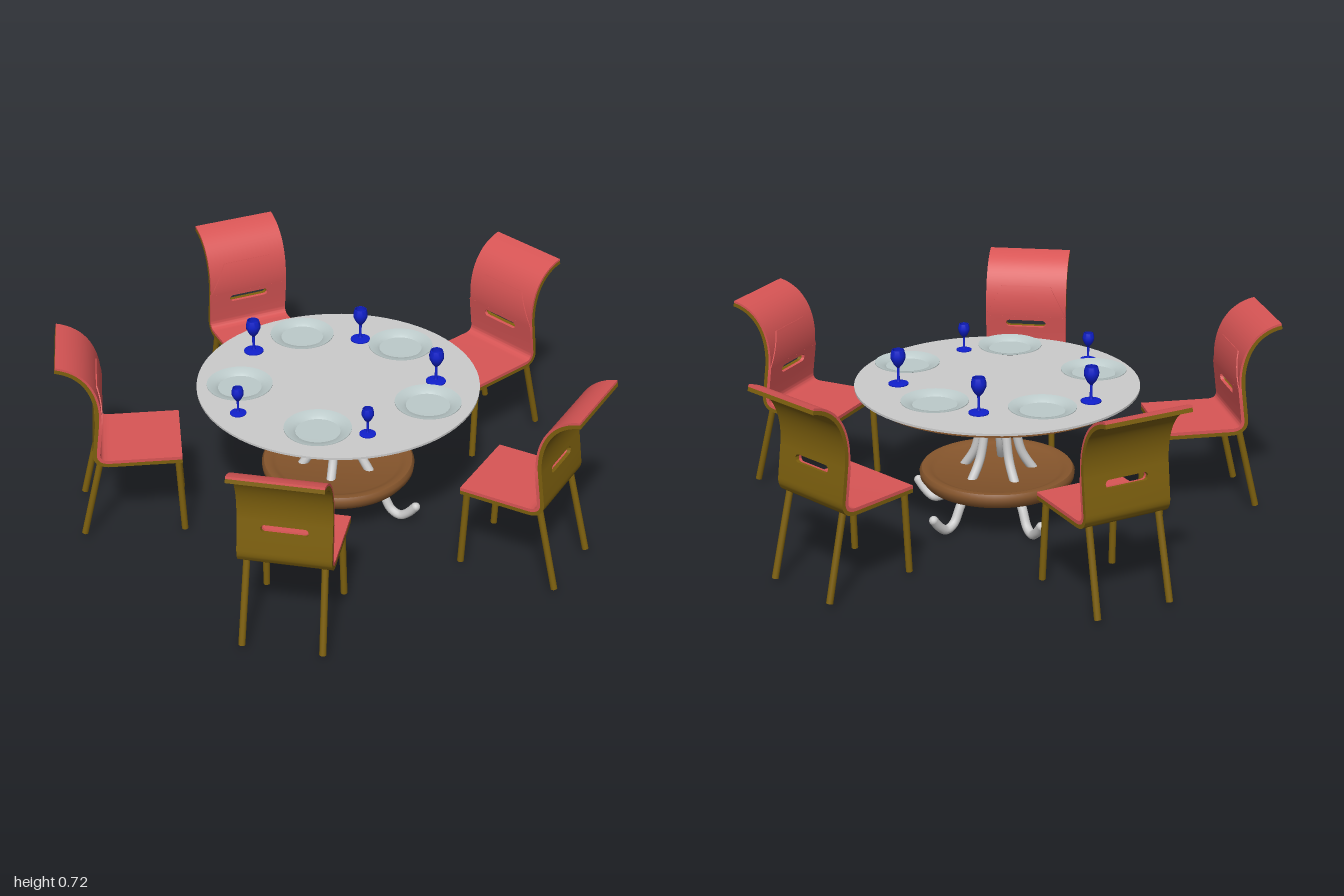
import * as THREE from 'three';
import { toCreasedNormals, mergeGeometries } from 'three/addons/utils/BufferGeometryUtils.js';

const mat = (color, side = THREE.FrontSide) => new THREE.MeshStandardMaterial({ color, side });
const GREY = mat(0xcccccc), OLIVE = mat(0x7c5f0e), RED = mat(0xd85555), WOOD = mat(0x85552c);
const CHINA = mat(0xbccaca, THREE.DoubleSide), BLUE = mat(0x1020cc, THREE.DoubleSide);
const STEP = Math.PI * 2 / 5;

function add(parent, name, geometry, material) {
  const mesh = new THREE.Mesh(geometry, material);
  mesh.name = name;
  parent.add(mesh);
  return mesh;
}

const V2 = ([x, y]) => new THREE.Vector2(x, y);
const lathe = (pts, seg = 48) => toCreasedNormals(new THREE.LatheGeometry(pts.map(V2), seg), 0.7);

function rod(a, b, radius) {
  const from = new THREE.Vector3(...a), to = new THREE.Vector3(...b);
  const dir = to.clone().sub(from);
  const g = new THREE.CylinderGeometry(radius, radius, dir.length(), 12);
  g.applyQuaternion(new THREE.Quaternion().setFromUnitVectors(new THREE.Vector3(0, 1, 0), dir.normalize()));
  const mid = from.add(to).multiplyScalar(0.5);
  return g.translate(mid.x, mid.y, mid.z);
}

// Chair side profile (distance from table centre, height): seat and lower back, then the rolled upper back
const HALF = 0.16;
const SLOT_A = [0.86, 0.425], SLOT_B = [0.852, 0.485];
const lower = new THREE.Path().moveTo(0.575, 0.331).lineTo(0.83, 0.331)
  .quadraticCurveTo(0.872, 0.331, 0.868, 0.365).lineTo(...SLOT_A).getPoints(10);
const upper = new THREE.Path().moveTo(...SLOT_B)
  .bezierCurveTo(0.84, 0.58, 0.87, 0.7, 0.995, 0.725).getPoints(24);

// A sheet lying between two offsets of a profile, extruded across the chair
function sheet(pts, d0, d1) {
  const offset = d => pts.map((p, i) => {
    const t = pts[Math.min(i + 1, pts.length - 1)].clone().sub(pts[Math.max(i - 1, 0)]).normalize();
    return new THREE.Vector2(p.x + t.y * d, p.y - t.x * d);
  });
  const shape = new THREE.Shape([...offset(d0), ...offset(d1).reverse()]);
  const g = new THREE.ExtrudeGeometry(shape, { depth: HALF * 2, bevelEnabled: false });
  return g.translate(0, 0, -HALF).rotateY(-Math.PI / 2);
}

// The straight band of the back, with its rounded hand slot
function slotBand(d0, d1) {
  const dr = SLOT_B[0] - SLOT_A[0], dy = SLOT_B[1] - SLOT_A[1], h = Math.hypot(dr, dy);
  const shape = new THREE.Shape([[-HALF, 0], [HALF, 0], [HALF, h], [-HALF, h]].map(V2));
  const r = 0.014, w = 0.066;
  const hole = new THREE.Path();
  hole.absarc(w, h / 2, r, -Math.PI / 2, Math.PI / 2);
  hole.absarc(-w, h / 2, r, Math.PI / 2, Math.PI * 1.5);
  shape.holes.push(hole);
  const g = new THREE.ExtrudeGeometry(shape, { depth: d1 - d0, bevelEnabled: false, curveSegments: 8 });
  return g.translate(0, 0, d0).rotateX(Math.atan2(dr, dy)).translate(0, SLOT_A[1], SLOT_A[0]);
}

// Lumbar panel, narrowing towards its top
function lumbarPad() {
  const pts = upper.filter(p => p.y < 0.615);
  const g = sheet(pts, -0.004, 0.001), pos = g.attributes.position;
  for (let i = 0; i < pos.count; i++) {
    const k = THREE.MathUtils.clamp((pos.getY(i) - 0.485) / 0.125, 0, 1);
    pos.setX(i, pos.getX(i) * (1 - 0.4 * k));
  }
  g.computeVertexNormals();
  return g;
}

function createChair() {
  const chair = new THREE.Group();
  chair.name = 'chair';
  const join = list => toCreasedNormals(mergeGeometries(list), 0.6);
  add(chair, 'cushion', join([sheet(lower, -0.004, 0.008), slotBand(-0.004, 0.008),
    sheet(upper, 0, 0.008), lumbarPad()]), RED);
  add(chair, 'shell', join([sheet(lower, 0.008, 0.022), slotBand(0.008, 0.022),
    sheet(upper, 0.008, 0.022)]), OLIVE);
  for (const s of [-1, 1]) {
    add(chair, 'frontLeg', rod([s * 0.132, 0.315, 0.59], [s * 0.138, 0.012, 0.578], 0.012), OLIVE);
    add(chair, 'backLeg', rod([s * 0.132, 0.32, 0.865], [s * 0.138, 0.02, 0.94], 0.012), OLIVE);
  }
  return chair;
}

function createTable() {
  const table = new THREE.Group();
  table.name = 'table';
  add(table, 'tableTop', new THREE.CylinderGeometry(0.51, 0.51, 0.008, 72), GREY).position.y = 0.509;

  // Concentric wooden rings under the top
  for (const [a, b] of [[0.4, 0.48], [0.26, 0.335], [0.13, 0.2]])
    add(table, 'woodRing', lathe([[a, 0.487], [b, 0.487], [b, 0.506], [a, 0.506], [a, 0.487]], 64), WOOD);
  add(table, 'woodCentre', new THREE.CylinderGeometry(0.07, 0.07, 0.019, 32), WOOD).position.y = 0.4965;

  // Lower shelf with a rounded, slightly raised rim
  add(table, 'shelf', lathe([[0, 0.125], [0.23, 0.125], [0.262, 0.135], [0.28, 0.158], [0.282, 0.178],
    [0.274, 0.19], [0.258, 0.192], [0.24, 0.184], [0.225, 0.178], [0, 0.178]], 64), WOOD);

  // Curved legs gathered at the top and hooked outwards at the floor
  add(table, 'hub', new THREE.CylinderGeometry(0.014, 0.02, 0.06, 16), GREY).position.y = 0.46;
  const path = new THREE.CatmullRomCurve3([[0.012, 0.445], [0.045, 0.42], [0.065, 0.34], [0.09, 0.24],
    [0.14, 0.16], [0.19, 0.09], [0.225, 0.032], [0.262, 0.019], [0.295, 0.04], [0.325, 0.075]]
    .map(([r, y]) => new THREE.Vector3(0, y, r)));
  const tube = new THREE.TubeGeometry(path, 48, 0.017, 12);
  for (let i = 0; i < 5; i++) {
    const leg = new THREE.Group();
    leg.name = 'tableLeg';
    leg.rotation.y = i * STEP;
    add(leg, 'legTube', tube, GREY);
    for (const t of [0, 1]) {
      const tip = add(leg, 'legTip', new THREE.SphereGeometry(0.017, 12, 8), GREY);
      tip.position.copy(path.getPoint(t));
    }
    table.add(leg);
  }
  return table;
}

export function createModel() {
  const model = new THREE.Group();
  model.name = 'diningSet';
  const setting = new THREE.Group();
  setting.name = 'tableAndChairs';
  setting.position.z = -0.05;
  setting.add(createTable());
  for (let i = 0; i < 5; i++) {
    const chair = createChair();
    chair.rotation.y = i * STEP;
    setting.add(chair);
  }
  model.add(setting);

  // Plates
  const plate = lathe([[0, 0.004], [0.07, 0.004], [0.085, 0.012], [0.118, 0.022], [0.118, 0.025],
    [0.088, 0.018], [0.078, 0.009], [0, 0.008]]);
  for (const [x, z] of [[0, 0.305], [0.345, 0.06], [0.18, -0.325], [-0.195, -0.335], [-0.335, 0.07]])
    add(model, 'plate', plate, CHINA).position.set(x, 0.511, z);

  // Stemmed glasses
  const glass = lathe([[0, 0], [0.036, 0], [0.036, 0.004], [0.008, 0.01], [0.005, 0.02], [0.005, 0.06],
    [0.016, 0.072], [0.026, 0.092], [0.027, 0.105], [0.022, 0.124], [0.02, 0.124], [0.024, 0.104],
    [0.015, 0.078], [0, 0.07]], 24);
  for (const [x, z, s] of [[0.02, -0.37, 1], [-0.35, -0.205, 1], [0.345, -0.12, 1],
    [-0.3, 0.235, 0.8], [0.17, 0.28, 0.8]]) {
    const g = add(model, 'wineGlass', glass, BLUE);
    g.position.set(x, 0.513, z);
    g.scale.set(s, s * 1.04, s);
  }
  return model;
}
